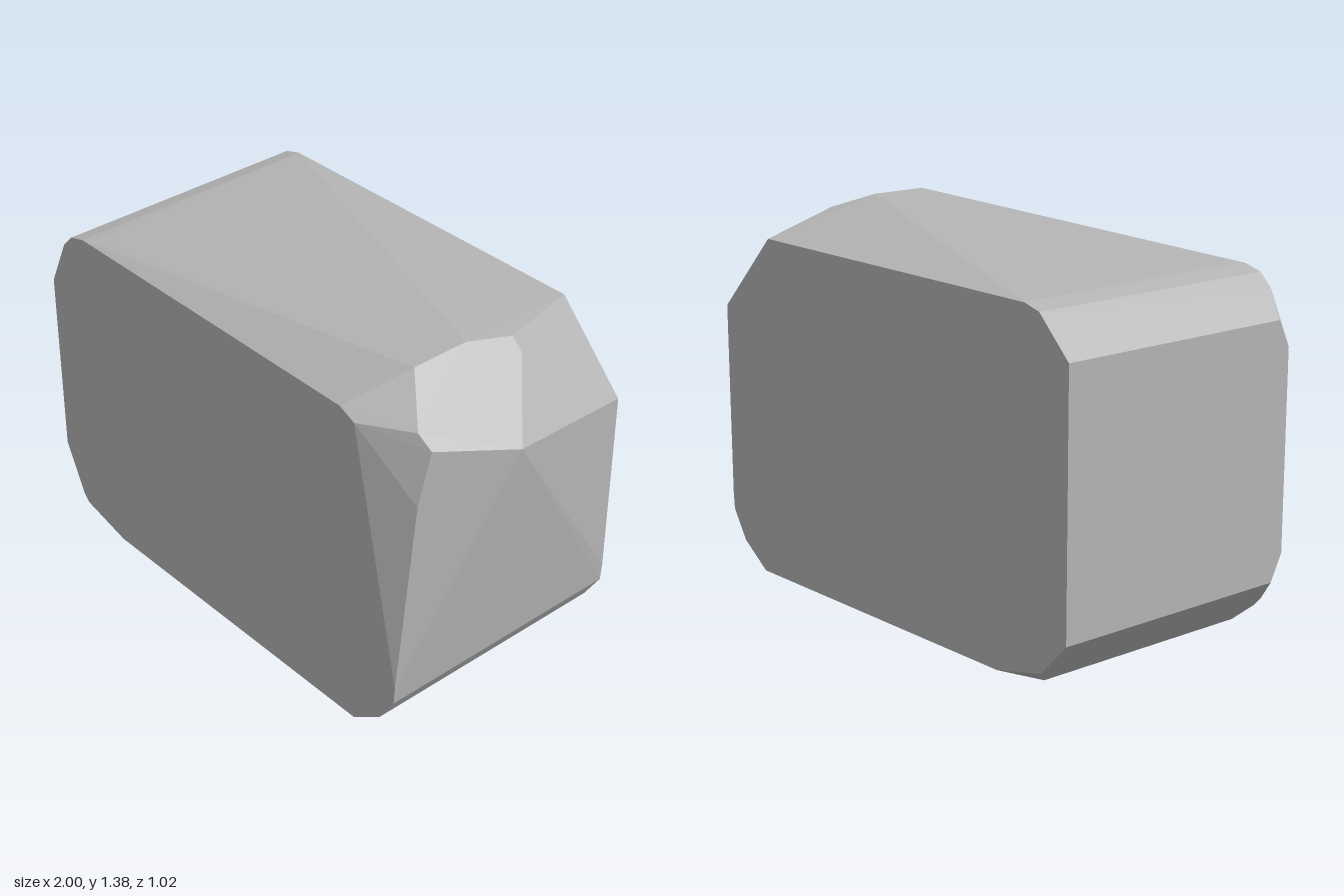
import * as THREE from 'three';
import { ConvexGeometry } from 'three/addons/geometries/ConvexGeometry.js';

const END = 0.51; // half depth of the flat front and back faces

export function createModel() {
  const group = new THREE.Group();
  group.name = 'rock';
  const points = [];
  const add = (z, ...corners) => corners.forEach(([x, y]) => points.push(new THREE.Vector3(x, y, z)));

  // Corners shared by the front and back faces
  for (const z of [END, -END]) {
    add(z, [0.69, 0], [0.82, 0.09], [0.89, 0.2], [0.895, 0.27], [-0.66, 0],
      [-0.88, 0.053], [-0.86, 1.26], [-0.79, 1.28]);
  }

  // Front face: clipped left corners and chamfered right edge
  add(END, [-1, 0.28], [-0.91, 0.085], [-1, 1.02], [-0.91, 1.21],
    [0.61, 1.28], [0.68, 1.25], [0.69, 1.2]);
  add(0.48, [-0.75, 1.285]);

  // Back face
  add(-END, [-1, 0.18], [-1, 1.12], [0.62, 1.29], [0.9, 1.0]);

  // Small chips beside the left end
  add(0.46, [-1, 0.18], [-1, 1.12]);
  add(0.45, [-0.83, 0]);
  add(-0.45, [-0.83, 0]);

  // Raised right shoulder and the tip of the right side
  add(0.29, [0.72, 1.385]);
  add(0.06, [0.72, 1.385]);
  add(-0.12, [0.755, 1.35], [0.8, 1.307]);
  add(0.4, [0.86, 1.253]);
  add(0.385, [0.91, 1.2]);
  add(0.435, [0.903, 1.0]);
  add(0.065, [1, 1.11]);

  const stone = new THREE.MeshStandardMaterial({ color: 0xb4b4b4, flatShading: true });
  stone.name = 'grey stone';
  const boulder = new THREE.Mesh(new ConvexGeometry(points), stone);
  boulder.name = 'boulder';
  group.add(boulder);
  return group;
}
